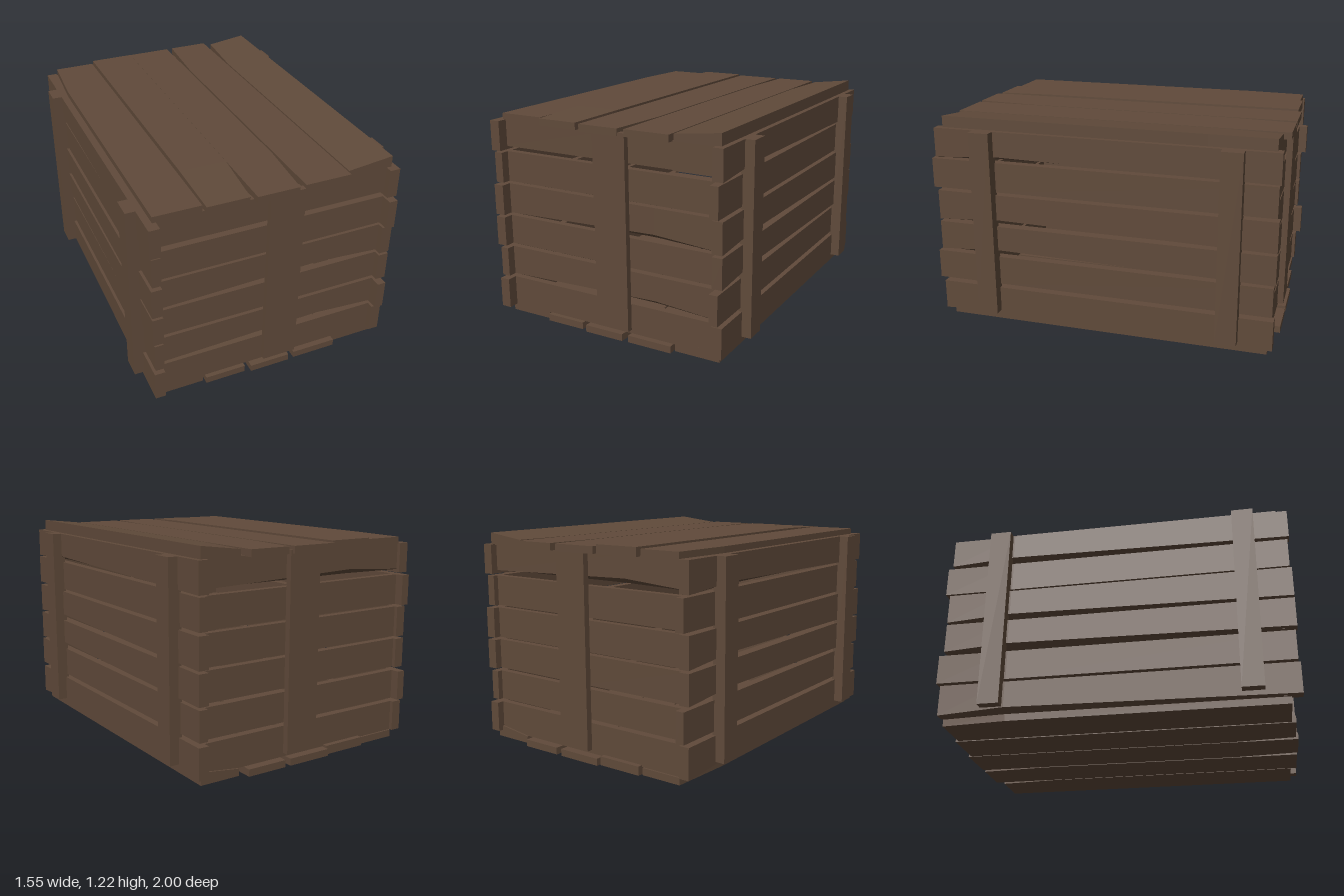
import * as THREE from 'three';

const wood = new THREE.MeshStandardMaterial({ color: 0x604a3a });
wood.name = 'brown wood';

// A board filling the given ranges; warp(p, u) may shift each corner,
// where u holds the corner's place in the box from 0 to 1 on each axis.
function plank(name, [x0, x1], [y0, y1], [z0, z1], segments = [1, 1, 1], warp) {
  let geo = new THREE.BoxGeometry(1, 1, 1, ...segments);
  geo.translate(0.5, 0.5, 0.5);
  const pos = geo.attributes.position;
  const u = new THREE.Vector3(), p = new THREE.Vector3();
  for (let i = 0; i < pos.count; i++) {
    u.fromBufferAttribute(pos, i);
    p.set(x0 + u.x * (x1 - x0), y0 + u.y * (y1 - y0), z0 + u.z * (z1 - z0));
    if (warp) warp(p, u);
    pos.setXYZ(i, p.x, p.y, p.z);
  }
  geo = geo.toNonIndexed();
  geo.computeVertexNormals();
  const mesh = new THREE.Mesh(geo, wood);
  mesh.name = name;
  return mesh;
}

// Height ranges of the six rows of wall boards
const rows = [[0.04, 0.215], [0.235, 0.405], [0.425, 0.595], [0.61, 0.785], [0.8, 0.973], [0.985, 1.155]];

// Side wall on +x: six boards, some with a chipped lower edge, and two battens
function sideWall(name) {
  const wall = new THREE.Group();
  wall.name = name;
  rows.forEach((y, i) => {
    const shifted = i === 1 || i === 4;
    const z = shifted ? [-0.98, 1.0] : [-0.99, 0.97];
    wall.add(plank('sideBoard', [0.66, shifted ? 0.71 : 0.72], y, z, [1, 1, 2], (p, u) => {
      if (u.z !== 0.5) return;
      p.z = 0.6;
      if (!shifted && u.x === 1 && u.y === 0) p.y += 0.025;
    }));
  });
  for (const z of [[0.61, 0.73], [-0.8, -0.68]]) {
    wall.add(plank('sideBatten', [0.7, 0.775], [0.07, 1.155], z));
  }
  return wall;
}

// End wall: six boards between the sides and one broad batten
function endWall(name, dir, z0, z1, chips) {
  const wall = new THREE.Group();
  wall.name = name;
  rows.forEach(([y0, y1], i) => {
    const bottom = i === 5 ? 1.003 : y0;
    wall.add(plank('endBoard', [-0.69, 0.69], [bottom, y1], [z0, z1], [2, 1, 1], (p, u) => {
      if (u.x !== 0.5) return;
      const chip = chips[i] ?? 0;
      p.x = chip;
      const outer = dir > 0 ? 1 : 0;
      if (chip && u.z === outer && u.y === 0) p.y += 0.028;
    }));
  });
  const batten = dir > 0 ? [z1, z1 + 0.035] : [z0 - 0.035, z0];
  wall.add(plank('endBatten', [-0.05, 0.15], [0.06, 1.168], batten));
  return wall;
}

// Five long boards forming the lid or floor. Cut: [right edge?, end, amount]
const deck = [
  { x: [-0.68, -0.415], z: [-0.96, 0.93], cut: [0, -1, 0.025] },
  { x: [-0.403, -0.138], z: [-0.98, 0.955], cut: [1, 1, 0.026], rise: 0.01 },
  { x: [-0.13, 0.138], z: [-1.0, 0.97], cut: [1, 1, 0.028] },
  { x: [0.148, 0.415], z: [-1.0, 0.965], cut: [0, -1, 0.026] },
  { x: [0.423, 0.69], z: [-0.96, 0.93], cut: [0, -1, 0.028], tilt: 0.03 },
];

function boards(name, y) {
  const group = new THREE.Group();
  group.name = name;
  for (const { x, z, cut: [edge, end, amount], rise = 0, tilt = 0 } of deck) {
    group.add(plank('longBoard', x, [y, y + 0.04], z, [1, 1, 2], (p, u) => {
      // The middle ring moves to where the tapered end starts
      if (u.z === 0.5) p.z = 0.6 * end;
      const atCut = u.z === (end > 0 ? 1 : 0);
      if (atCut && u.x === edge) p.x += edge ? -amount : amount;
      if (u.y === 1 && !atCut) p.y += rise;
      if (u.y === 1) p.y += tilt * u.x;
    }));
  }
  return group;
}

export function createModel() {
  const crate = new THREE.Group();
  crate.name = 'woodenCrate';
  const leftSide = sideWall('leftSide');
  const rightSide = sideWall('rightSide');
  rightSide.rotation.y = Math.PI;
  crate.add(leftSide, rightSide);
  crate.add(endWall('frontEnd', 1, 0.89, 0.93, { 1: 0.3, 3: 0.3 }));
  crate.add(endWall('backEnd', -1, -0.95, -0.91, { 5: -0.3 }));
  crate.add(boards('floor', 0), boards('lid', 1.15));
  return crate;
}
